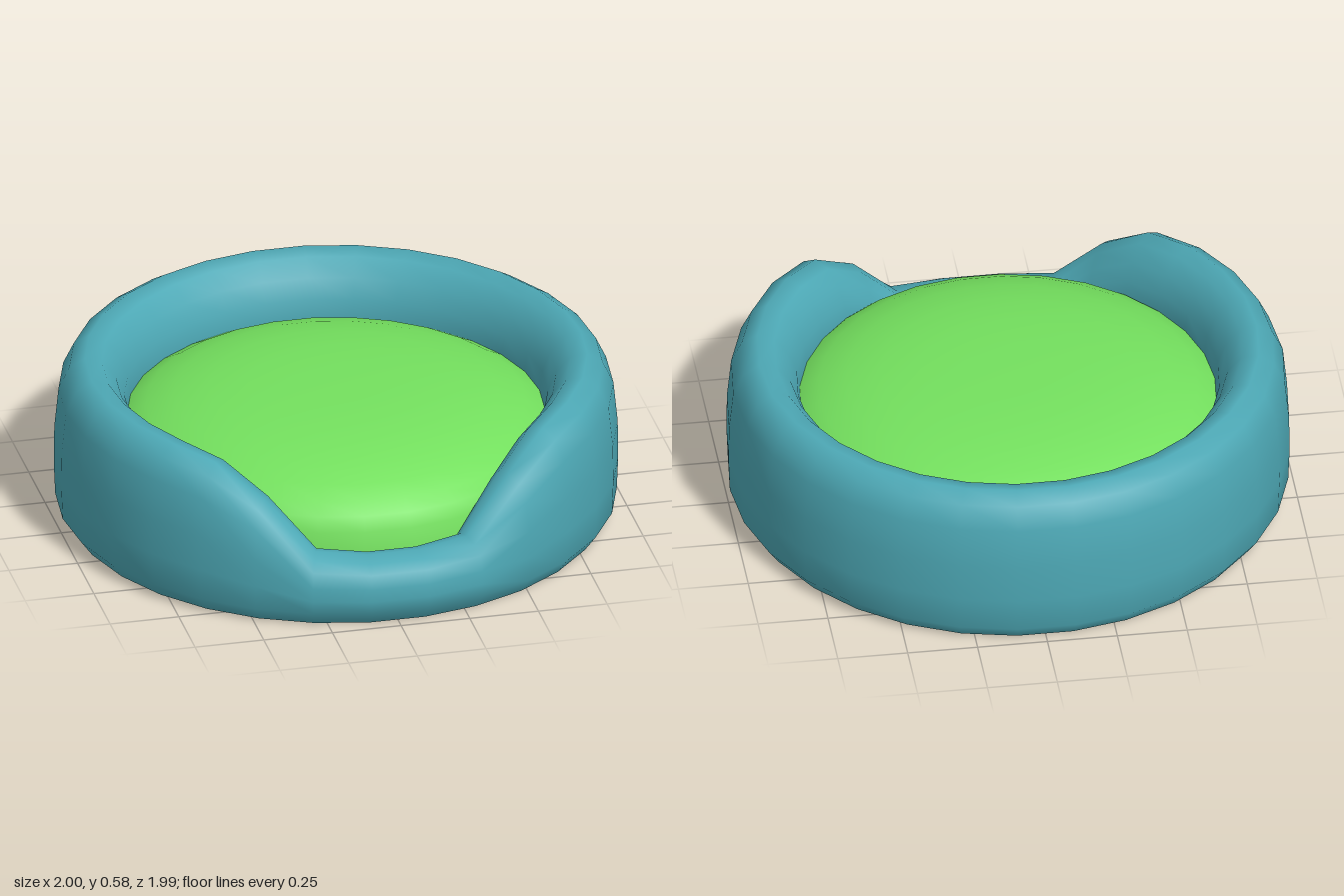
import * as THREE from 'three';
import { mergeVertices } from 'three/addons/utils/BufferGeometryUtils.js';

const SIDES = 30;
const START = THREE.MathUtils.degToRad(6);
const FULL = 0.585;

// rim height by angle away from the front, in degrees
const DIP = [[0, 0.235], [12, 0.235], [18, 0.25], [30, 0.44], [42, 0.55], [54, 0.575], [72, FULL], [180, FULL]];

function rimHeight(deg) {
  for (let i = 1; i < DIP.length; i++) {
    const [a, h0] = DIP[i - 1], [b, h1] = DIP[i];
    if (deg <= b) return h0 + (h1 - h0) * (deg - a) / (b - a);
  }
  return FULL;
}

// revolve a profile, optionally bend it, then smooth it across the seam
function revolve(profile, bend) {
  const geo = new THREE.LatheGeometry(profile.map(([r, y]) => new THREE.Vector2(r, y)), SIDES, START);
  const pos = geo.attributes.position;
  const v = new THREE.Vector3();
  for (let i = 0; bend && i < pos.count; i++) {
    bend(v.fromBufferAttribute(pos, i));
    pos.setXYZ(i, v.x, v.y, v.z);
  }
  geo.deleteAttribute('uv');
  geo.deleteAttribute('normal');
  const merged = mergeVertices(geo, 1e-4);
  merged.computeVertexNormals();
  return merged;
}

export function createModel() {
  const group = new THREE.Group();
  const teal = new THREE.MeshStandardMaterial({ name: 'teal fabric', color: 0x4da8b5, side: THREE.DoubleSide });
  const green = new THREE.MeshStandardMaterial({ name: 'green fabric', color: 0x74e05e, side: THREE.DoubleSide });

  // padded wall, open below, lowered at the front for the entrance
  const wallProfile = [
    [0.955, 0], [0.995, 0.055], [1, 0.18], [0.998, 0.32], [0.983, 0.47], [0.945, 0.55],
    [0.89, 0.585], [0.83, 0.57], [0.78, 0.51], [0.75, 0.44], [0.74, 0.37], [0.745, 0.31],
  ];
  const wall = new THREE.Mesh(revolve(wallProfile, (v) => {
    const r = Math.hypot(v.x, v.z);
    const deg = THREE.MathUtils.radToDeg(Math.abs(Math.atan2(v.x, v.z)));
    const k = rimHeight(deg) / FULL;
    // keep the foot of the wall, squash the rest
    if (v.y > 0.06) v.y = 0.06 + (v.y - 0.06) * (k * FULL - 0.06) / (FULL - 0.06);
    // the inner face opens out at the entrance
    const inner = THREE.MathUtils.clamp((0.89 - r) / 0.15, 0, 1);
    const s = (r + inner * 0.06 * (1 - k) / 0.6) / r;
    v.x *= s;
    v.z *= s;
  }), teal);
  wall.name = 'wall';

  // domed cushion shell
  const R = 0.82;
  const cushionProfile = [];
  for (const t of [1, 0.985, 0.95, 0.9, 0.82, 0.7, 0.55, 0.38, 0.2, 0]) {
    cushionProfile.push([R * t, 0.2 + 0.285 * Math.pow(1 - t ** 3, 0.4)]);
  }
  const cushion = new THREE.Mesh(revolve(cushionProfile), green);
  cushion.name = 'cushion';

  group.add(wall, cushion);
  return group;
}
